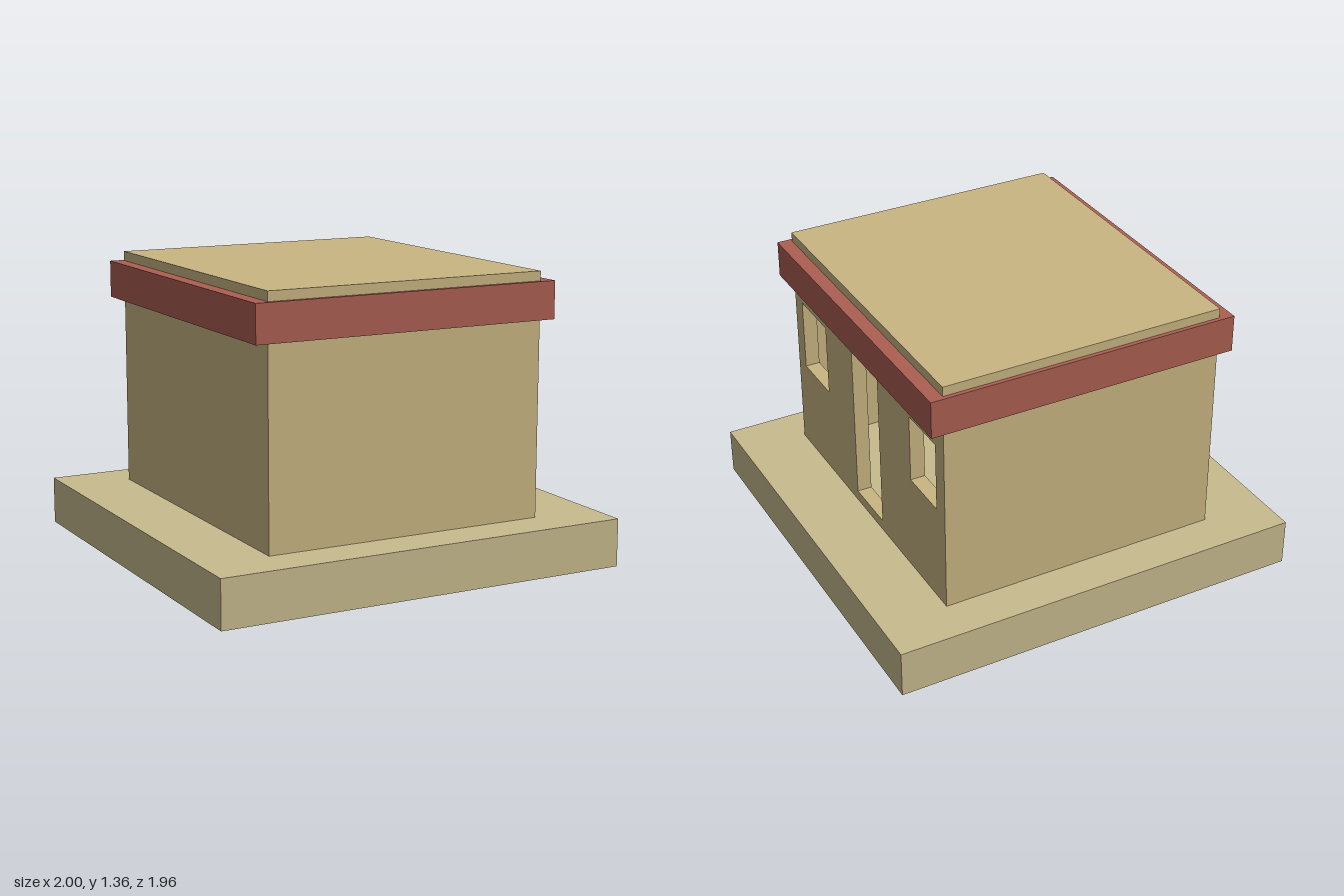
import * as THREE from 'three';

const slabMat = new THREE.MeshStandardMaterial({ color: 0xc8bb8e });
const wallMat = new THREE.MeshStandardMaterial({ color: 0xc9b682 });
const redMat = new THREE.MeshStandardMaterial({ color: 0xad5f52 });

const BASE = 0.225, EAVE = 1.14, BAND_TOP = 1.315, TOP = 1.36;
const HX = 0.68, HZ = 0.78, T = 0.07; // house half sizes and wall thickness

export function createModel() {
  const house = new THREE.Group();
  house.name = 'house';

  // box given by its lower and upper limits
  const box = (name, mat, [x0, y0, z0], [x1, y1, z1]) => {
    const mesh = new THREE.Mesh(new THREE.BoxGeometry(x1 - x0, y1 - y0, z1 - z0), mat);
    mesh.position.set((x0 + x1) / 2, (y0 + y1) / 2, (z0 + z1) / 2);
    mesh.name = name;
    house.add(mesh);
  };

  // rectangle outline, with u running towards -z
  const rect = (C, u0, v0, u1, v1) => new C([
    new THREE.Vector2(u0, v0), new THREE.Vector2(u1, v0),
    new THREE.Vector2(u1, v1), new THREE.Vector2(u0, v1),
  ]);

  box('foundationSlab', slabMat, [-1, 0, -0.98], [1, BASE, 0.98]);

  // plain walls
  box('frontWall', wallMat, [-HX, BASE, HZ - T], [HX - T, EAVE, HZ]);
  box('backWall', wallMat, [-HX, BASE, -HZ], [HX - T, EAVE, -HZ + T]);
  box('rightWall', wallMat, [-HX, BASE, -HZ + T], [-HX + T, EAVE, HZ - T]);

  // wall with a doorway between two windows
  const shape = rect(THREE.Shape, -HZ, BASE, HZ, EAVE);
  shape.holes.push(
    rect(THREE.Path, -0.70, 0.67, -0.43, 1.02),
    rect(THREE.Path, -0.14, 0.275, 0.13, 1.05),
    rect(THREE.Path, 0.45, 0.70, 0.70, 1.03),
  );
  const doorWall = new THREE.Mesh(
    new THREE.ExtrudeGeometry(shape, { depth: T, bevelEnabled: false }), wallMat);
  doorWall.rotation.y = Math.PI / 2;
  doorWall.position.x = HX - T;
  doorWall.name = 'leftWallWithDoorway';
  house.add(doorWall);

  // roof band, which also forms the ceiling, and the roof panel on top
  box('roofBand', redMat, [-0.745, EAVE, -0.80], [0.745, BAND_TOP, 0.80]);
  box('roofPanel', wallMat, [-HX, BAND_TOP, -HZ], [HX, TOP, HZ]);

  return house;
}
